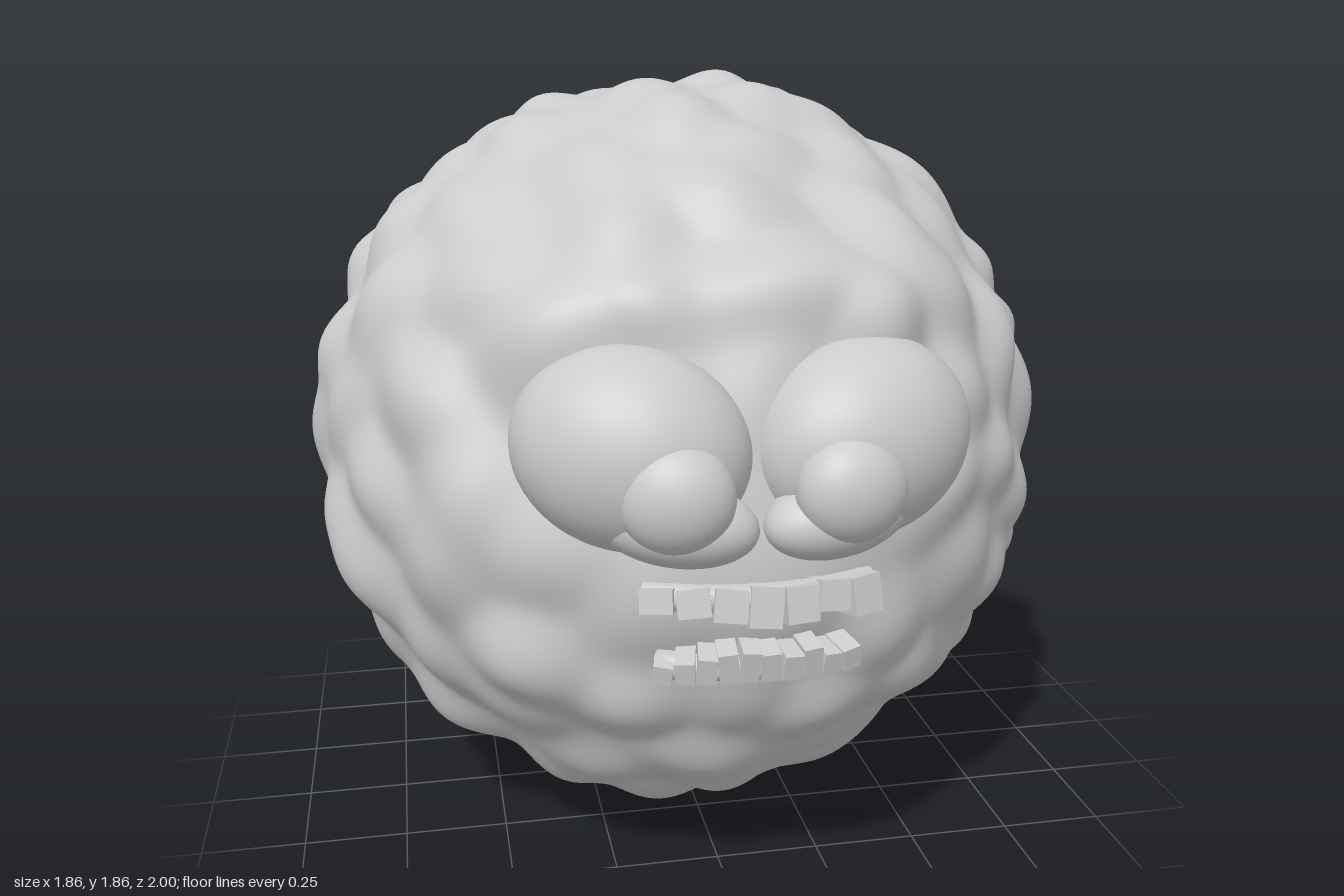
import * as THREE from 'three';
import { mergeVertices } from 'three/addons/utils/BufferGeometryUtils.js';

const grey = new THREE.MeshStandardMaterial({ color: 0xcccccc });
const greyFlat = new THREE.MeshStandardMaterial({ color: 0xcccccc, flatShading: true });
const greyOpen = new THREE.MeshStandardMaterial({ color: 0xcccccc, side: THREE.DoubleSide });

function seeded(seed) {
  return () => {
    seed = (seed * 16807) % 2147483647;
    return seed / 2147483647;
  };
}

function add(parent, name, geometry, material = grey) {
  const mesh = new THREE.Mesh(geometry, material);
  mesh.name = name;
  parent.add(mesh);
  return mesh;
}

// Ellipsoid with given radii, position and rotation
function addEllipsoid(parent, name, radii, position, rotation = [0, 0, 0]) {
  const mesh = add(parent, name, new THREE.SphereGeometry(1, 40, 28));
  mesh.scale.set(...radii);
  mesh.position.set(...position);
  mesh.rotation.set(...rotation);
}

const lump = (x, y, z, axis, height, width, stretch) => {
  const dir = new THREE.Vector3(x, y, z).normalize();
  return { dir, axis: axis.addScaledVector(dir, -axis.dot(dir)).normalize(), height, width, stretch };
};

// Evenly scattered, slightly stretched lumps over a unit sphere
function makeLumps(count) {
  const rand = seeded(4711);
  const jitter = () => (rand() - 0.5) * 0.14;
  const lumps = [];
  for (let i = 0; i < count; i++) {
    const y = 1 - (2 * i + 1) / count;
    const a = i * 2.39996;
    const r = Math.sqrt(1 - y * y);
    const axis = new THREE.Vector3(rand() - 0.5, (rand() - 0.5) * 0.6, rand() - 0.5);
    lumps.push(lump(r * Math.cos(a) + jitter(), y + jitter(), r * Math.sin(a) + jitter(), axis,
      0.045 + rand() * 0.035, 0.085 + rand() * 0.025, 1 + rand() * 0.6));
  }
  return lumps;
}

const vec = (x, y, z) => new THREE.Vector3(x, y, z);

// Brows, muzzle, chin and cheeks raised out of the ball
const faceSwells = [
  lump(0.32, 0.53, 0.78, vec(1, 0.1, 0), 0.065, 0.09, 2.2),
  lump(-0.32, 0.53, 0.78, vec(1, -0.1, 0), 0.065, 0.09, 2.2),
  lump(0, -0.12, 1, vec(1, 0, 0), 0.03, 0.13, 1.9),
  lump(0, -0.5, 0.86, vec(1, 0, 0), 0.025, 0.12, 2),
  lump(0.42, -0.4, 0.8, vec(1, 1, 0), 0.025, 0.1, 1.6),
  lump(-0.42, -0.4, 0.8, vec(1, -1, 0), 0.025, 0.1, 1.6),
];

function swell(l, v, d) {
  d.subVectors(v, l.dir);
  const q = d.lengthSq();
  if (q > 0.6) return 0;
  const along = d.dot(l.axis);
  const dist = q - along * along + (along / l.stretch) ** 2;
  return l.height * Math.exp(-dist / (2 * l.width * l.width));
}

// Lumpy ball, calmer around the face
function bodyGeometry() {
  let geometry = new THREE.IcosahedronGeometry(1, 54);
  geometry.deleteAttribute('uv');
  geometry.deleteAttribute('normal');
  geometry = mergeVertices(geometry, 1e-5);
  const lumps = makeLumps(160);
  const face = vec(0, 0, 1);
  const pos = geometry.attributes.position;
  const v = vec(0, 0, 0), d = vec(0, 0, 0);
  for (let i = 0; i < pos.count; i++) {
    v.fromBufferAttribute(pos, i).normalize();
    // Blended maximum keeps each lump rounded with creases between
    let sum = 0;
    for (const l of lumps) sum += swell(l, v, d) ** 3;
    const calm = Math.exp(-v.distanceToSquared(face) / 0.22);
    let h = Math.cbrt(sum) * (1 - calm) + 0.045 * calm;
    for (const l of faceSwells) h += swell(l, v, d);
    v.multiplyScalar(0.87 + h);
    pos.setXYZ(i, v.x, v.y, v.z);
  }
  geometry.computeBoundingBox();
  const { min, max } = geometry.boundingBox;
  geometry.translate(-(min.x + max.x) / 2, -min.y, -1 - min.z);
  geometry.computeVertexNormals();
  return geometry;
}

// A row of uneven teeth set in a curved gum
function teethRow(name, { y, z, halfWidth, count, length, down, seed }) {
  const rand = seeded(seed);
  const row = new THREE.Group();
  row.name = name;
  const sign = down ? -1 : 1;
  const depthAt = (x) => z - 0.9 * x * x;
  const path = new THREE.CatmullRomCurve3([-1, -0.5, 0, 0.5, 1].map((t) =>
    vec(t * halfWidth, y - sign * 0.015, depthAt(t * halfWidth) - 0.05)));
  add(row, 'gum', new THREE.TubeGeometry(path, 24, 0.03, 8, false), greyOpen);
  const step = (2 * halfWidth) / count;
  for (let i = 0; i < count; i++) {
    const x = -halfWidth + (i + 0.5) * step;
    const len = length * (0.7 + rand() * 0.5);
    const tooth = add(row, 'tooth', new THREE.BoxGeometry(step, len, 0.1), greyFlat);
    tooth.position.set(x, y + sign * (len / 2 - length * 0.5), depthAt(x) - 0.055 - rand() * 0.01);
    tooth.rotation.set(sign * 0.2, x * 1.6, (rand() - 0.5) * 0.25);
  }
  return row;
}

export function createModel() {
  const model = new THREE.Group();
  model.name = 'lumpyCreature';
  add(model, 'body', bodyGeometry());

  // Low bulging eyes with raised pupils and lower lids
  for (const s of [-1, 1]) {
    const eye = new THREE.Group();
    eye.name = s > 0 ? 'leftEye' : 'rightEye';
    addEllipsoid(eye, 'eyeball', [0.255, 0.215, 0.2], [s * 0.245, 1.13, 0.745], [-0.15, s * 0.35, s * 0.25]);
    addEllipsoid(eye, 'pupil', [0.12, 0.115, 0.09], [s * 0.18, 1.07, 0.91], [0, s * 0.2, 0]);
    addEllipsoid(eye, 'lowerLid', [0.17, 0.09, 0.1], [s * 0.17, 1.0, 0.855], [0, s * 0.3, s * 0.1]);
    model.add(eye);
  }

  model.add(teethRow('upperTeeth', { y: 0.835, z: 0.96, halfWidth: 0.24, count: 7, length: 0.07, down: true, seed: 31 }));
  model.add(teethRow('lowerTeeth', { y: 0.695, z: 0.92, halfWidth: 0.21, count: 10, length: 0.06, down: false, seed: 77 }));
  return model;
}
